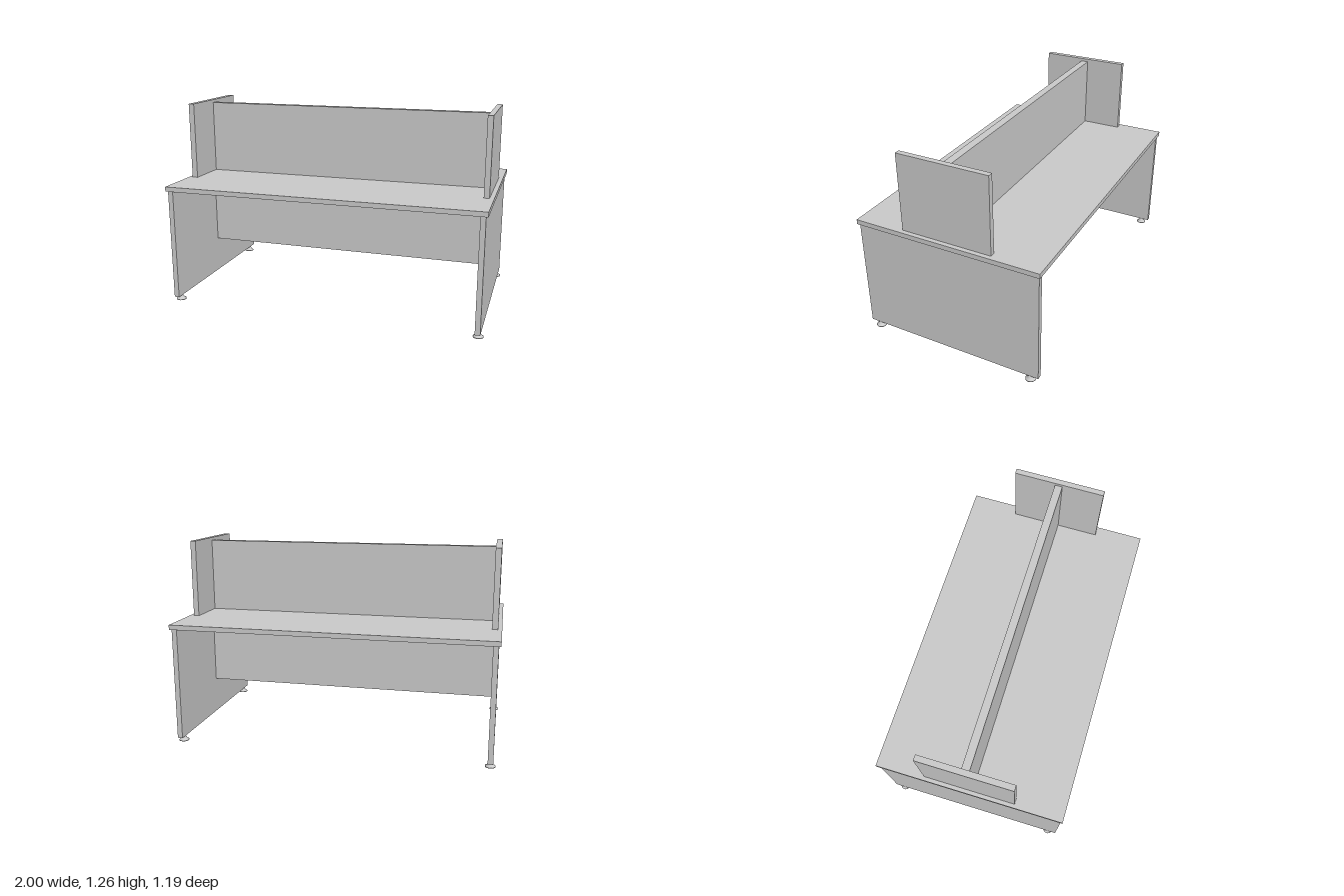
import * as THREE from 'three';

const material = new THREE.MeshStandardMaterial({ color: 0xcccccc });

// Box given by its extents on each axis
function panel(name, [x0, x1], [y0, y1], [z0, z1]) {
  const mesh = new THREE.Mesh(new THREE.BoxGeometry(x1 - x0, y1 - y0, z1 - z0), material);
  mesh.position.set((x0 + x1) / 2, (y0 + y1) / 2, (z0 + z1) / 2);
  mesh.name = name;
  return mesh;
}

export function createModel() {
  const group = new THREE.Group();
  group.name = 'doubleDesk';

  const topBottom = 0.741, topSurface = 0.771, legBottom = 0.033;

  // Desk top and the panels along its middle
  group.add(
    panel('deskTop', [-1, 1], [topBottom, topSurface], [-0.593, 0.593]),
    panel('modestyPanel', [-0.955, 0.955], [0.265, topBottom], [-0.018, 0.016]),
    panel('middleScreen', [-0.94, 0.938], [topSurface, 1.238], [-0.026, 0.022]),
  );

  // Side screens
  group.add(
    panel('rightSideScreen', [-0.976, -0.94], [topSurface, 1.257], [-0.288, 0.288]),
    panel('leftSideScreen', [0.938, 0.972], [topSurface, 1.257], [-0.288, 0.288]),
  );

  // Levelling foot: flat pad flaring up into a short stem
  const profile = [
    [0, 0], [0.031, 0], [0.031, 0.005], [0.024, 0.008],
    [0.018, 0.016], [0.012, 0.027], [0.011, legBottom], [0, legBottom],
  ].map(([r, y]) => new THREE.Vector2(r, y));
  const footGeometry = new THREE.LatheGeometry(profile, 24);

  // Slab legs, each on two feet
  for (const side of [-1, 1]) {
    const label = side > 0 ? 'left' : 'right';
    const xs = [side * 0.987, side * 0.955].sort((a, b) => a - b);
    group.add(panel(label + 'Leg', xs, [legBottom, topBottom], [-0.583, 0.583]));
    for (const end of [-1, 1]) {
      const foot = new THREE.Mesh(footGeometry, material);
      foot.name = label + (end > 0 ? 'FrontFoot' : 'BackFoot');
      foot.position.set(side * 0.97, 0, end * 0.527);
      group.add(foot);
    }
  }
  return group;
}
